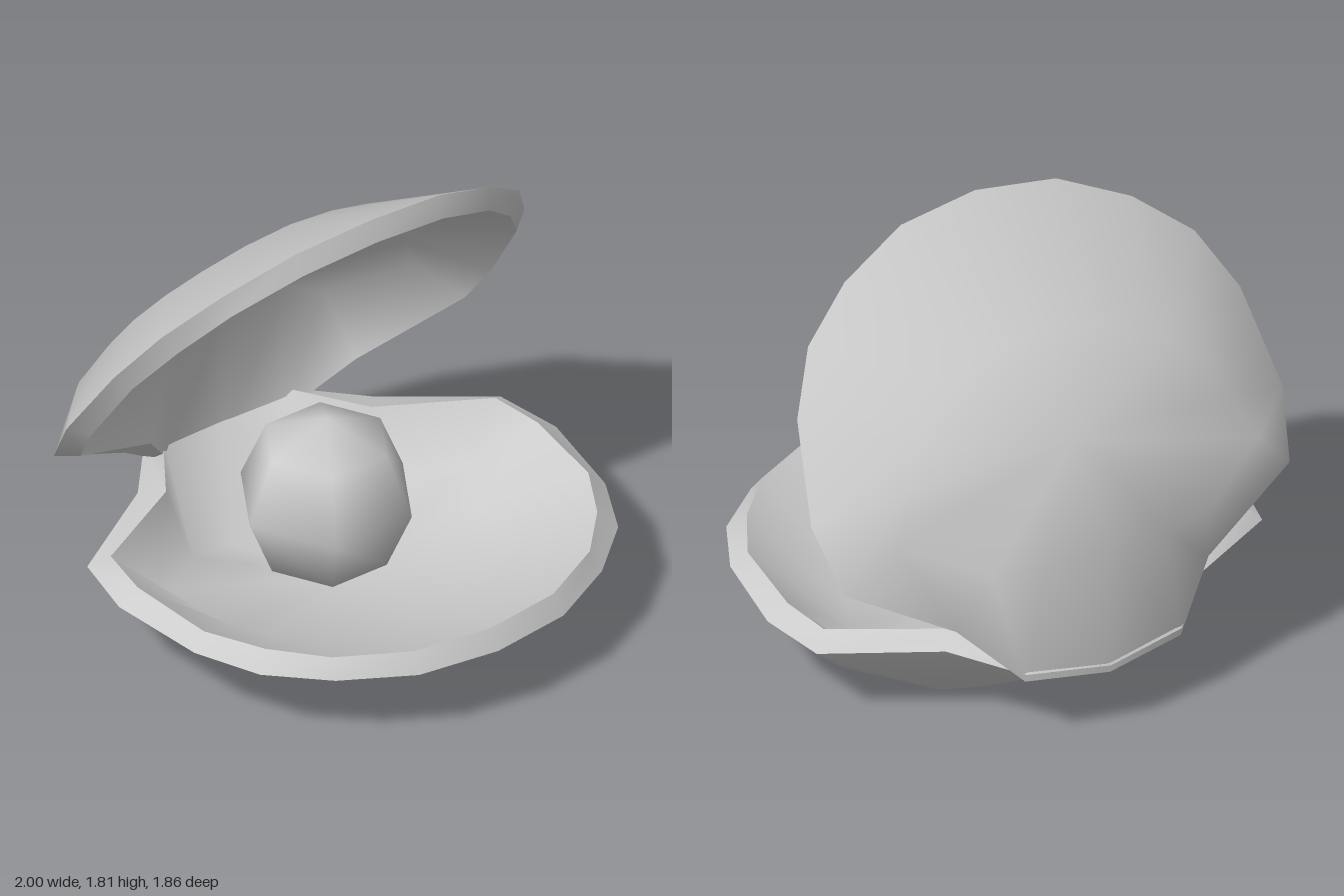
import * as THREE from 'three';

// Half cross-sections [x, y, z], running from front centre round to the hinge
const rimOuter = [[0, .31, .93], [.33, .31, .885], [.61, .315, .74], [.82, .32, .55], [.94, .325, .3],
  [1, .33, -.1], [.945, .33, -.38], [.535, .355, -.63], [.33, .33, -.88], [0, .3, -.934]];
const rimInner = [[0, .88], [.32, .835], [.59, .69], [.76, .5], [.88, .275],
  [.915, -.1], [.88, -.32], [.47, -.54], [.27, -.84], [0, -.87]].map(([x, z]) => [x, .385, z]);
const belly = [[0, .055, .37], [.2, .06, .345], [.38, .07, .28], [.52, .08, .2], [.62, .088, .08],
  [.68, .1, -.07], [.77, .14, -.25], [.46, .06, -.455], [.26, .03, -.48], [0, 0, -.48]];
const thickness = .07;
const bellyInner = belly.map(([x, y, z]) => [x * .93, y + thickness, z * .93]);

// Mirror a half section into a closed loop
const loop = half => [...half, ...half.slice(1, -1).reverse().map(([x, y, z]) => [-x, y, z])];

// Skin closed loops from the outside in, with an optional centre point
function skin(loops, centre, down) {
  const n = loops[0].length, index = [];
  const tri = (a, b, c) => (down ? index.push(a, c, b) : index.push(a, b, c));
  for (let r = 0; r < loops.length; r++) {
    for (let i = 0; i < n; i++) {
      const j = (i + 1) % n, a = r * n + i, b = r * n + j;
      if (r < loops.length - 1) {
        tri(a, b, b + n);
        tri(a, b + n, a + n);
      } else if (centre) tri(a, b, loops.length * n);
    }
  }
  const points = loops.flat();
  if (centre) points.push(centre);
  const g = new THREE.BufferGeometry();
  g.setAttribute('position', new THREE.Float32BufferAttribute(points.flat(), 3));
  g.setIndex(index);
  g.computeVertexNormals();
  return g;
}

export function createModel() {
  const model = new THREE.Group();
  model.name = 'clam';
  const material = new THREE.MeshStandardMaterial({ color: 0xcccccc });
  const outer = loop(rimOuter), inner = loop(rimInner);
  const parts = {
    outside: skin([outer, loop(belly)], [0, .03, -.05], true),
    lip: skin([outer, inner], null, false),
    inside: skin([inner, loop(bellyInner)], [0, .03 + thickness, -.05], false),
  };

  function makeShell(name) {
    const shell = new THREE.Group();
    shell.name = name;
    for (const [part, geometry] of Object.entries(parts)) {
      const mesh = new THREE.Mesh(geometry, material);
      mesh.name = part;
      shell.add(mesh);
    }
    model.add(shell);
    return shell;
  }

  makeShell('lowerShell');

  // The upper shell is the same shell turned over and opened at the hinge
  const upper = makeShell('upperShell');
  upper.rotation.set(-.979, 0, Math.PI);
  upper.position.set(0, 1.211, -.656);

  // Pearl
  const pearl = new THREE.Mesh(new THREE.SphereGeometry(.35, 6, 4), material);
  pearl.name = 'pearl';
  pearl.position.set(0, .39, -.172);
  model.add(pearl);
  return model;
}
